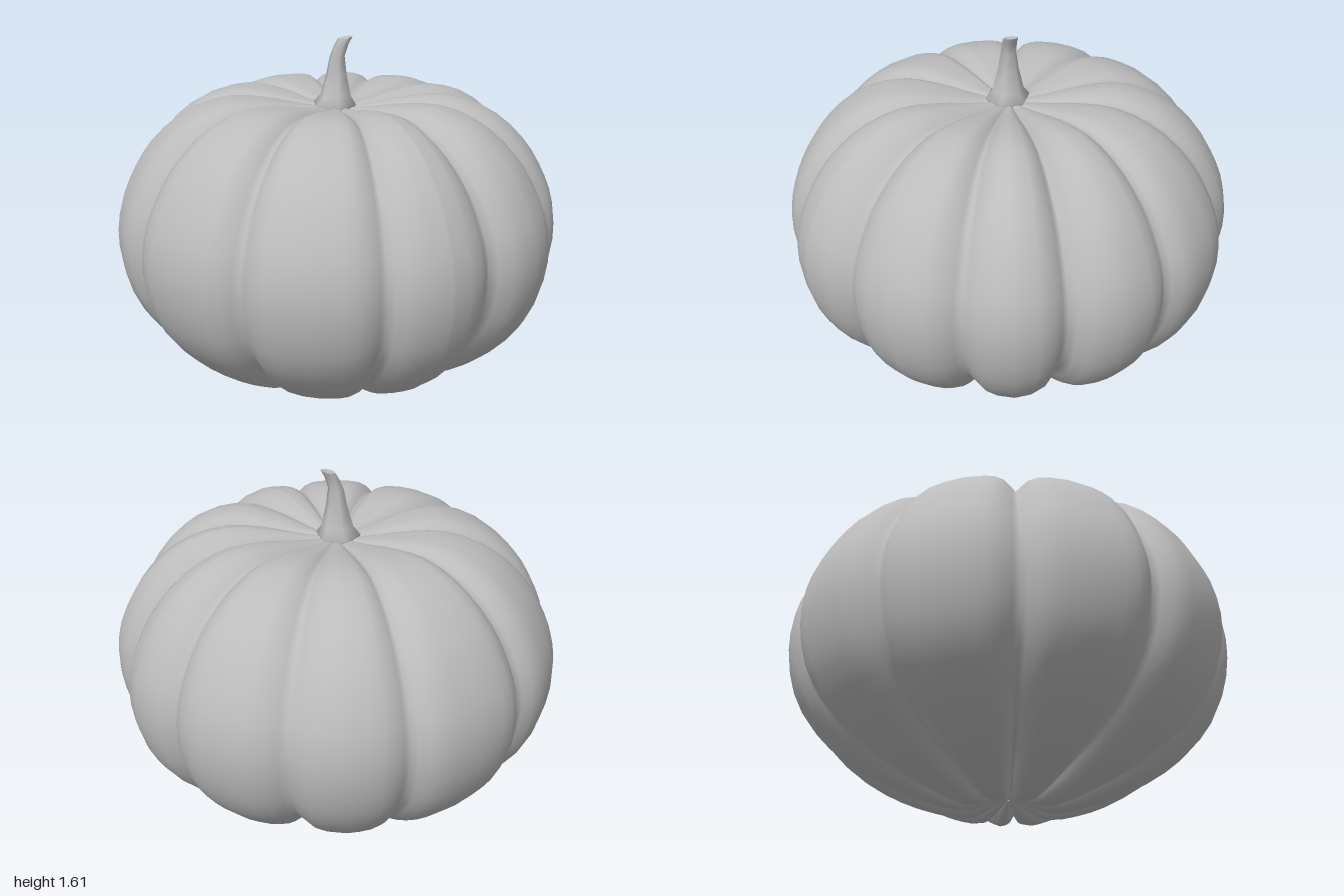
import * as THREE from 'three';

// Closed grid surface: rows run upwards, columns run round and wrap
function gridSurface(rows, cols, point) {
  const pos = [], index = [];
  for (let i = 0; i < rows; i++)
    for (let j = 0; j < cols; j++) pos.push(...point(i, j));
  for (let i = 0; i < rows - 1; i++)
    for (let j = 0; j < cols; j++) {
      const k = (j + 1) % cols;
      const a = i * cols + j, b = i * cols + k, c = a + cols, d = b + cols;
      index.push(a, c, b, b, c, d);
    }
  const geo = new THREE.BufferGeometry();
  geo.setAttribute('position', new THREE.Float32BufferAttribute(pos, 3));
  geo.setIndex(index);
  geo.computeVertexNormals();
  return geo;
}

// Ribbed body: a rounded meridian, pushed inwards along its normal at each groove
function bodyGeometry() {
  const profile = new THREE.CatmullRomCurve3([
    [0.005, 0.06], [0.08, 0.04], [0.2, 0.008], [0.4, 0.06], [0.6, 0.15], [0.8, 0.29],
    [0.94, 0.47], [1.0, 0.69], [0.988, 0.87], [0.93, 1.02], [0.84, 1.16],
    [0.69, 1.29], [0.5, 1.357], [0.32, 1.35], [0.15, 1.318], [0.005, 1.3],
  ].map(([r, y]) => new THREE.Vector3(r, y, 0)));

  // The eleven grooves: degrees from +x towards +z, depth, width factor
  const grooves = [
    [0, 0.095, 1.1], [26.8, 0.075, 1.1], [60, 0.08, 1.35], [90, 0.062, 1],
    [126, 0.068, 1], [162.7, 0.07, 1], [198.2, 0.072, 1], [234, 0.062, 1],
    [270, 0.056, 1], [299.8, 0.06, 1.2], [332.4, 0.056, 1],
  ];
  const steps = [0, 0.03, 0.075, 0.13, 0.19];          // radians from a groove
  const shares = [1, 0.75, 0.3, 0.08, 0];              // share of full depth
  const columns = [];
  grooves.forEach(([deg, depth, width], n) => {
    const [nextDeg, nextDepth, nextWidth] = grooves[(n + 1) % grooves.length];
    const a0 = THREE.MathUtils.degToRad(deg);
    const a1 = THREE.MathUtils.degToRad(nextDeg || 360);
    steps.forEach((s, k) => columns.push([a0 + s * width, depth * shares[k]]));
    columns.push([(a0 + a1) / 2, -0.003]);
    for (let k = steps.length - 1; k > 0; k--)
      columns.push([a1 - steps[k] * nextWidth, nextDepth * shares[k]]);
  });

  const rows = 37;
  return gridSurface(rows, columns.length, (i, j) => {
    const t = i / (rows - 1);
    const p = profile.getPoint(t), tan = profile.getTangent(t);
    const [a, full] = columns[j];
    // Grooves fade out towards the stem sooner than towards the base
    const depth = full * Math.min(1, p.x / (p.y > 0.7 ? 0.7 : 0.4));
    const r = Math.max(0.003, p.x - tan.y * depth);
    return [r * Math.cos(a), p.y + tan.x * depth, r * Math.sin(a)];
  });
}

// Leaning stem: flared six-sided base, narrow neck, bent blunt tip
function stemGeometry() {
  const rings = [ // centre x, centre y, radius, tilt
    [-0.012, 1.28, 0.085, 0], [-0.012, 1.32, 0.1, 0], [-0.008, 1.355, 0.072, 0],
    [-0.004, 1.45, 0.048, 0], [-0.001, 1.53, 0.035, 0.1], [0.017, 1.58, 0.034, 0.2],
    [0.035, 1.612, 0.034, 0.2], [0.035, 1.612, 0.034, 0.2], [0.036, 1.604, 0.002, 0],
  ];
  return gridSurface(rings.length, 6, (i, j) => {
    const [x, y, r, tilt] = rings[i];
    const a = (j + 0.5) * Math.PI / 3;
    return [x + r * Math.cos(a), y + r * Math.cos(a) * tilt, r * Math.sin(a)];
  });
}

export function createModel() {
  const group = new THREE.Group();
  group.name = 'pumpkin';
  const grey = new THREE.MeshStandardMaterial({ color: 0xbcbcbc });
  grey.name = 'plain grey';

  const body = new THREE.Mesh(bodyGeometry(), grey);
  body.name = 'ribbedBody';
  const stem = new THREE.Mesh(stemGeometry(), grey);
  stem.name = 'stem';
  group.add(body, stem);
  return group;
}
